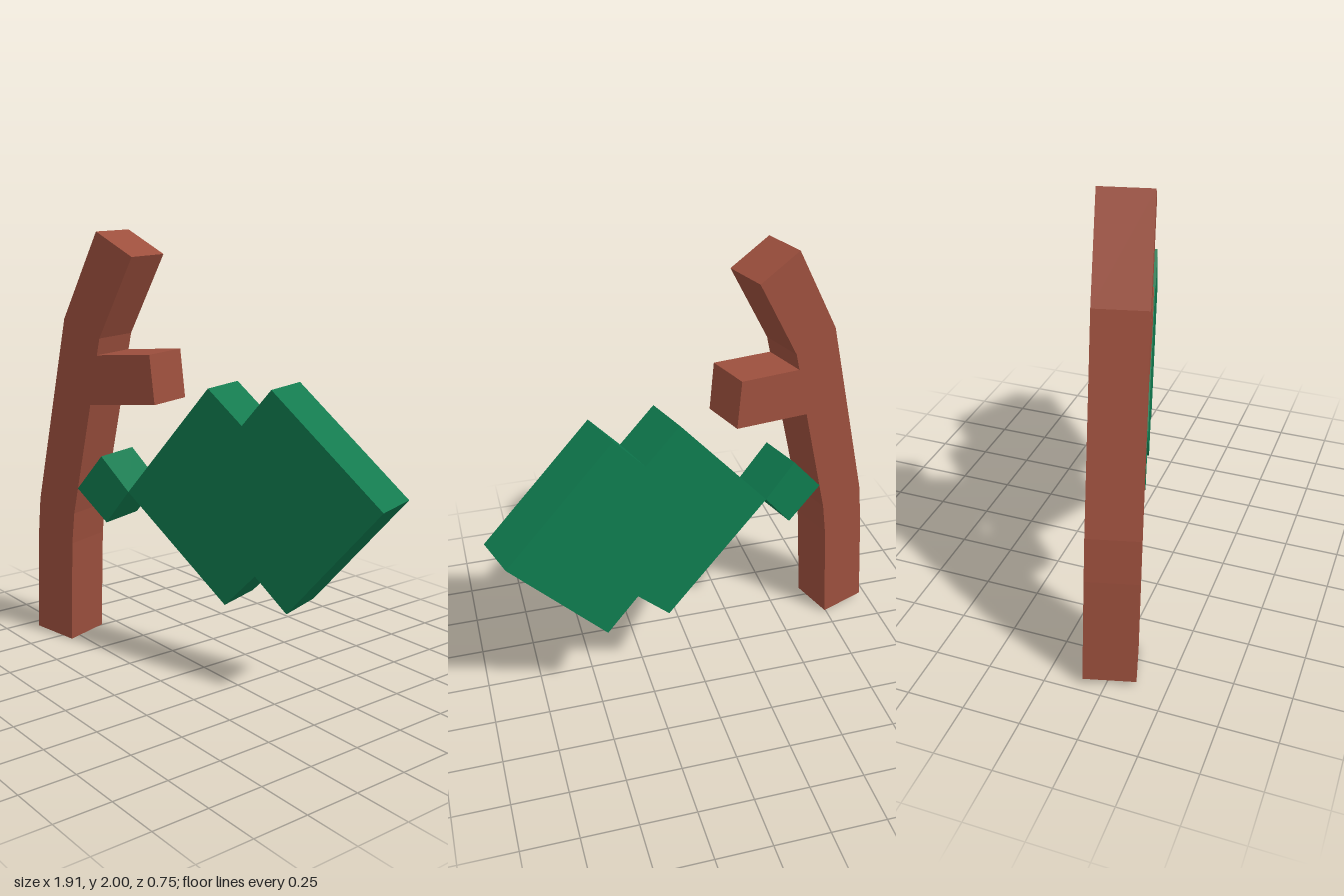
import * as THREE from 'three';

// Front outlines as [x, y] corners, counter-clockwise
const TRUNK = [
  [-0.897, 0.02], [-0.68, 0], [-0.648, 0.505], [-0.627, 0.66], [-0.5, 1.205],
  [-0.135, 1.245], [-0.156, 1.468], [-0.449, 1.442], [-0.431, 1.52], [-0.235, 1.89],
  [-0.426, 1.996], [-0.632, 1.597], [-0.839, 0.7], [-0.862, 0.505],
];
const SMALL_LEAF = [[-0.597, 0.79], [-0.431, 0.65], [-0.297, 0.82], [-0.447, 0.968]];
const LARGE_LEAF = [
  [-0.297, 0.82], [0.214, 0.383], [0.368, 0.548], [0.521, 0.41],
  [0.95, 0.932], [0.452, 1.373], [0.31, 1.205], [0.145, 1.348],
];

// Slab axes: the front plane is turned to the right and leans slightly forward
const SLAB = new THREE.Matrix4().makeBasis(
  new THREE.Vector3(1, 0, -0.298),
  new THREE.Vector3(0, 1, 0.0225),
  new THREE.Vector3(0.063, -0.005, 0.216),
).setPosition(0, 0, 0.105);

function slab(name, outline, material) {
  const shape = new THREE.Shape(outline.map(([x, y]) => new THREE.Vector2(x, y)));
  const geometry = new THREE.ExtrudeGeometry(shape, { depth: 1, bevelEnabled: false });
  geometry.translate(0, 0, -1).applyMatrix4(SLAB);
  const mesh = new THREE.Mesh(geometry, material);
  mesh.name = name;
  return mesh;
}

export function createModel() {
  const bark = new THREE.MeshStandardMaterial({ color: 0x9c4f3d });
  bark.name = 'bark brown';
  const leaf = new THREE.MeshStandardMaterial({ color: 0x0e7a4e });
  leaf.name = 'leaf green';

  const model = new THREE.Group();
  model.name = 'leafyBranch';
  model.add(
    slab('trunkWithBranch', TRUNK, bark),
    slab('smallLeaf', SMALL_LEAF, leaf),
    slab('largeLeaf', LARGE_LEAF, leaf),
  );
  return model;
}
